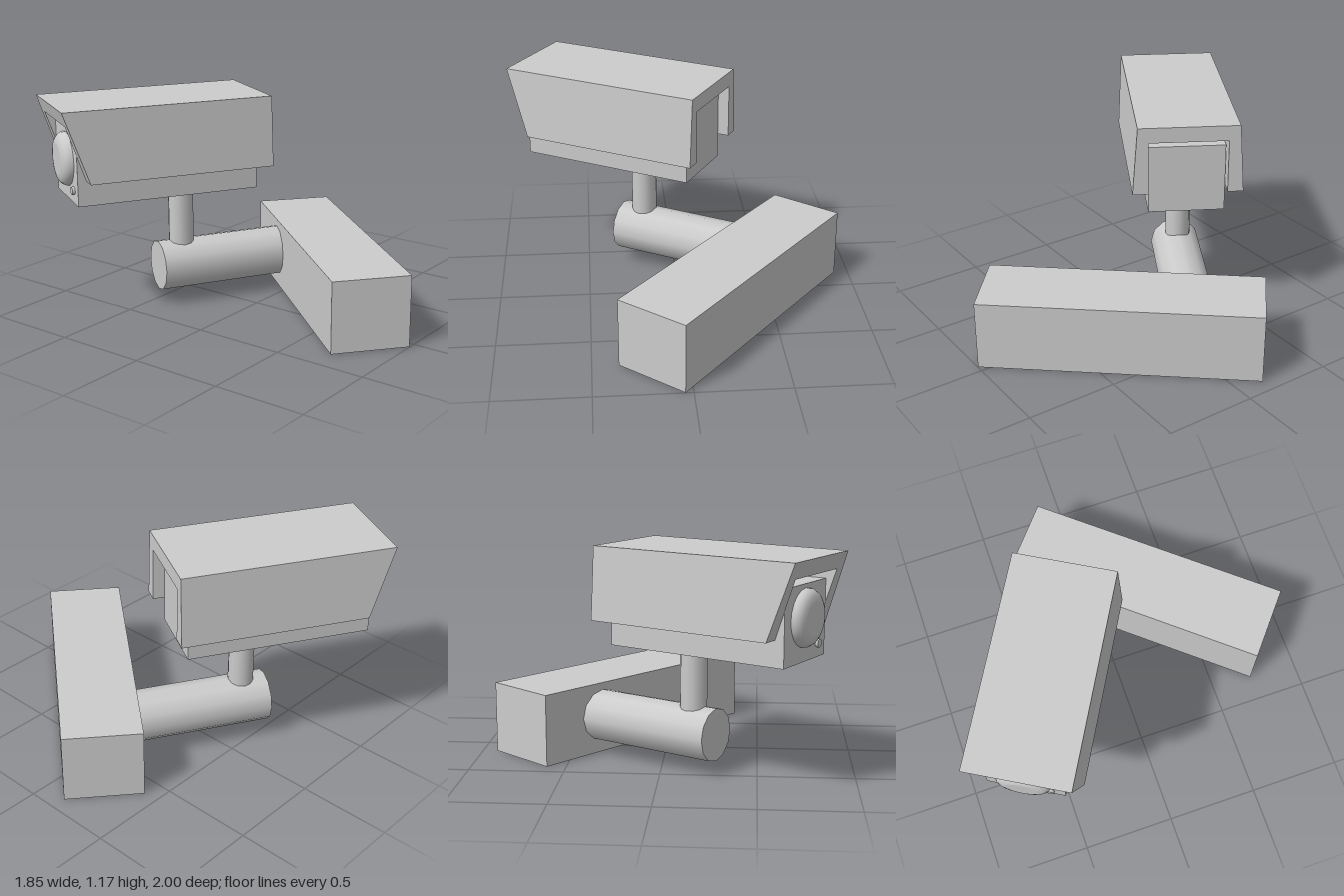
import * as THREE from 'three';

export function createModel() {
  const model = new THREE.Group();
  model.name = 'securityCamera';
  const grey = new THREE.MeshStandardMaterial({ color: 0xcccccc });
  grey.name = 'light grey';

  const add = (parent, name, geometry, x, y, z) => {
    const mesh = new THREE.Mesh(geometry, grey);
    mesh.name = name;
    mesh.position.set(x, y, z);
    parent.add(mesh);
    return mesh;
  };

  // Wall mounting block, turned 40 degrees
  const block = add(model, 'mountingBlock', new THREE.BoxGeometry(0.418, 0.385, 1.498), 0.28, 0.1925, 0.29);
  block.rotation.y = THREE.MathUtils.degToRad(-40);

  // Camera assembly: the lens looks along local -x
  const camera = new THREE.Group();
  camera.name = 'cameraAssembly';
  camera.position.set(0.132, 0, -0.229);
  camera.rotation.y = THREE.MathUtils.degToRad(-30);
  model.add(camera);

  // Horizontal arm and upright post
  const armStart = -0.484, armEnd = 0.32;
  const arm = new THREE.CylinderGeometry(0.14, 0.14, armEnd - armStart, 12).rotateZ(Math.PI / 2);
  add(camera, 'arm', arm, (armStart + armEnd) / 2, 0.207, 0);
  add(camera, 'post', new THREE.CylinderGeometry(0.07, 0.07, 0.46, 12), -0.347, 0.44, 0);

  // Camera body
  add(camera, 'body', new THREE.BoxGeometry(1.002, 0.38, 0.414), -0.479, 0.845, 0);

  // Hood: U-shaped section with flared sides and an overhanging raked front
  const low = 0.79, inner = 1.085, high = 1.17;
  const section = new THREE.Shape([
    [-0.298, low], [-0.2125, low], [-0.2125, inner], [0.2125, inner],
    [0.2125, low], [0.298, low], [0.272, high], [-0.272, high],
  ].map(([x, y]) => new THREE.Vector2(x, y)));
  const hood = new THREE.ExtrudeGeometry(section, { depth: 1, bevelEnabled: false });
  const p = hood.attributes.position;
  for (let i = 0; i < p.count; i++) {
    const rake = (p.getY(i) - low) / (high - low);
    const front = THREE.MathUtils.lerp(-0.934, -1.065, rake);
    p.setZ(i, THREE.MathUtils.lerp(front, 0.084, p.getZ(i)));
  }
  hood.rotateY(Math.PI / 2);
  hood.computeVertexNormals();
  add(camera, 'hood', hood, 0, 0, 0);

  // Rounded lens ring with a flat glass disc
  const ring = new THREE.LatheGeometry(
    [[0.145, 0], [0.142, 0.02], [0.13, 0.038], [0.11, 0.05], [0.085, 0.055]]
      .map(([r, h]) => new THREE.Vector2(r, h)), 20).rotateZ(Math.PI / 2);
  // The profile climbs toward the lens, so its faces point outward
  add(camera, 'lensRing', ring, -0.98, 0.87, 0);
  add(camera, 'lensGlass', new THREE.CylinderGeometry(0.085, 0.085, 0.05, 20).rotateZ(Math.PI / 2), -1.01, 0.87, 0);

  // Small sensor beside the lens
  add(camera, 'sensor', new THREE.CylinderGeometry(0.022, 0.022, 0.02, 12).rotateZ(Math.PI / 2), -0.985, 0.725, 0.13);

  return model;
}
